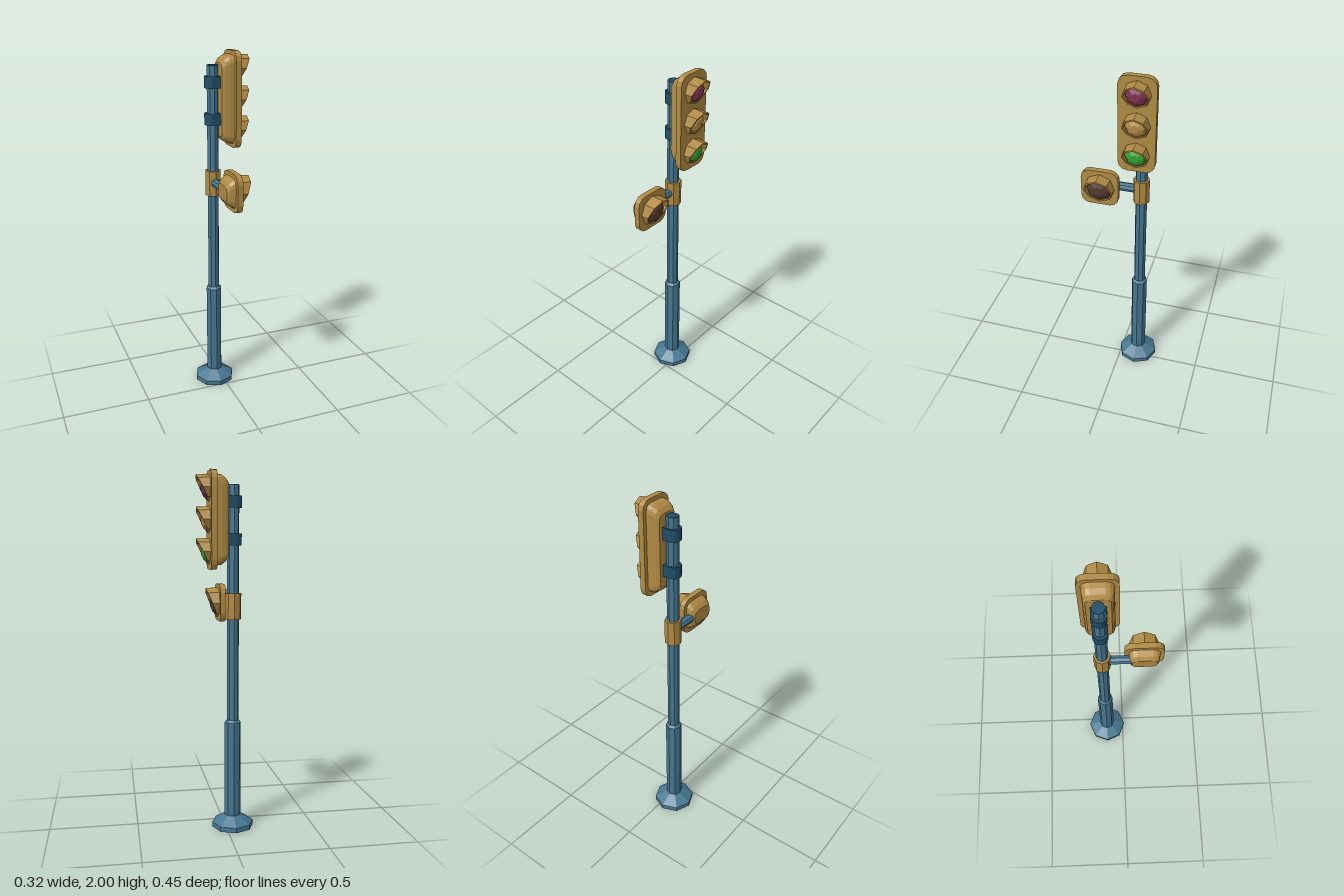
import * as THREE from 'three';

const material = (name, color) => {
  const m = new THREE.MeshStandardMaterial({ color });
  m.name = name;
  return m;
};

// Faceted normals for the low-poly look
function flat(geometry) {
  const g = geometry.index ? geometry.toNonIndexed() : geometry;
  g.computeVertexNormals();
  return g;
}

// Skin a list of rings that advance along +x; caps close the ends with a fan
function loft(rings, capStart = true, capEnd = true) {
  const out = [];
  const n = rings[0].length;
  const tri = (...pts) => pts.forEach((p) => out.push(p.x, p.y, p.z));
  const middle = (ring) =>
    ring.reduce((s, p) => s.add(p), new THREE.Vector3()).divideScalar(n);
  for (let r = 0; r < rings.length - 1; r++) {
    const a = rings[r], b = rings[r + 1];
    for (let i = 0; i < n; i++) {
      const j = (i + 1) % n;
      tri(a[i], a[j], b[j]);
      tri(a[i], b[j], b[i]);
    }
  }
  const first = rings[0], last = rings[rings.length - 1];
  const c0 = middle(first), c1 = middle(last);
  for (let i = 0; i < n; i++) {
    const j = (i + 1) % n;
    if (capStart) tri(c0, first[j], first[i]);
    if (capEnd) tri(c1, last[i], last[j]);
  }
  const g = new THREE.BufferGeometry();
  g.setAttribute('position', new THREE.Float32BufferAttribute(out, 3));
  return flat(g);
}

// Rounded rectangle at depth x, with three segments per corner
function roundedRing(x, height, width, radius) {
  const pts = [];
  for (let q = 0; q < 4; q++) {
    const sy = q === 0 || q === 3 ? 1 : -1;
    const sz = q < 2 ? 1 : -1;
    for (let k = 0; k <= 3; k++) {
      const a = (q + k / 3) * Math.PI / 2;
      pts.push(new THREE.Vector3(x,
        sy * (height / 2 - radius) + radius * Math.cos(a),
        sz * (width / 2 - radius) + radius * Math.sin(a)));
    }
  }
  return pts;
}

// Octagon with a corner at the top; depth may differ for each corner
function octagon(radius, depthAt) {
  return Array.from({ length: 8 }, (_, i) => {
    const a = i * Math.PI / 4;
    return new THREE.Vector3(depthAt(i), radius * Math.cos(a), radius * Math.sin(a));
  });
}

export function createModel() {
  const blue = material('pole blue', 0x467792);
  const darkBlue = material('bracket blue', 0x1f4d66);
  const gold = material('housing gold', 0xb08a43);
  const red = material('red lens', 0x7f3352);
  const amber = material('amber lens', 0xb48b48);
  const green = material('green lens', 0x36a336);
  const brown = material('brown lens', 0x543b2f);

  const model = new THREE.Group();
  model.name = 'trafficLight';
  const add = (parent, name, geometry, mat, x = 0, y = 0, z = 0) => {
    const mesh = new THREE.Mesh(geometry, mat);
    mesh.name = name;
    mesh.position.set(x, y, z);
    parent.add(mesh);
    return mesh;
  };
  const lathe = (pairs) =>
    flat(new THREE.LatheGeometry(pairs.map(([r, y]) => new THREE.Vector2(r, y)), 8));

  const PX = -0.041, PZ = -0.108;

  // Base with a hollow underside, lower sleeve and pole
  add(model, 'base', lathe([[0, 0.06], [0.112, 0], [0.118, 0], [0.118, 0.028], [0.046, 0.072]]), blue, PX, 0, PZ);
  add(model, 'lowerPole', lathe([[0.046, 0.06], [0.046, 0.617], [0.032, 0.63]]), blue, PX, 0, PZ);
  add(model, 'upperPole', lathe([[0.033, 0.6], [0.033, 1.924]]), blue, PX, 0, PZ);
  add(model, 'poleCap', lathe([[0.033, 1.92], [0.033, 1.926], [0, 1.926]]), darkBlue, PX, 0, PZ);

  // Collar and arm holding the small head
  add(model, 'collar', lathe([[0.032, 1.2], [0.046, 1.2], [0.046, 1.343], [0.032, 1.343]]), gold, PX, 0, PZ);
  const arm = new THREE.CylinderGeometry(0.025, 0.025, 0.17, 8).rotateX(Math.PI / 2);
  add(model, 'arm', flat(arm), blue, PX, 1.277, PZ + 0.085);

  // Two brackets wrapped around the pole
  const bracketShape = new THREE.Shape([
    [0.04, -0.039], [0.04, 0.039], [-0.016, 0.039], [-0.036, 0.028],
    [-0.045, 0.012], [-0.045, -0.012], [-0.036, -0.028], [-0.016, -0.039],
  ].map(([x, y]) => new THREE.Vector2(x, y)));
  for (const y of [1.603, 1.803]) {
    const g = new THREE.ExtrudeGeometry(bracketShape, { depth: 0.064, bevelEnabled: false });
    add(model, 'bracket', flat(g.rotateX(-Math.PI / 2)), darkBlue, PX, y, PZ);
  }

  // Lamp: a visor cut away below, and a faceted dome lens
  function addLamp(parent, y, radius, lensMaterial) {
    const reach = [0.071, 0.064, 0.04, 0.016, 0.012, 0.016, 0.04, 0.064];
    const tip = (i) => reach[i];
    const back = () => -0.004;
    add(parent, 'visor', loft([
      octagon(radius, back), octagon(radius * 0.95, tip),
      octagon(radius * 0.84, tip), octagon(radius * 0.86, back),
    ], false, false), gold, 0, y, 0);
    add(parent, 'lens', loft([
      octagon(radius * 0.83, back), octagon(radius * 0.81, () => 0.012),
      octagon(radius * 0.63, () => 0.03), octagon(radius * 0.3, () => 0.042),
    ], false), lensMaterial, 0, y, 0);
  }

  // Head: tapered back housing and a front plate whose face lies at local x = 0
  function addHead(name, height, width, depth, x, y, z) {
    const head = new THREE.Group();
    head.name = name;
    head.position.set(x, y, z);
    model.add(head);
    add(head, 'frontPlate', loft([
      roundedRing(-0.032, height, width, 0.05), roundedRing(0, height, width, 0.05),
    ]), gold);
    add(head, 'backHousing', loft([
      roundedRing(-depth, height - 0.13, width - 0.078, 0.03),
      roundedRing(-depth + 0.016, height - 0.085, width - 0.058, 0.035),
      roundedRing(-depth + 0.04, height - 0.052, width - 0.046, 0.04),
      roundedRing(-0.02, height - 0.04, width - 0.042, 0.04),
    ]), gold);
    return head;
  }

  const mainHead = addHead('mainHead', 0.527, 0.198, 0.1, 0.092, 1.7365, PZ);
  [red, amber, green].forEach((m, i) => addLamp(mainHead, 0.17 - i * 0.168, 0.072, m));

  const sideHead = addHead('sideHead', 0.213, 0.213, 0.079, 0.009, 1.277, 0.118);
  addLamp(sideHead, 0, 0.087, brown);

  return model;
}
